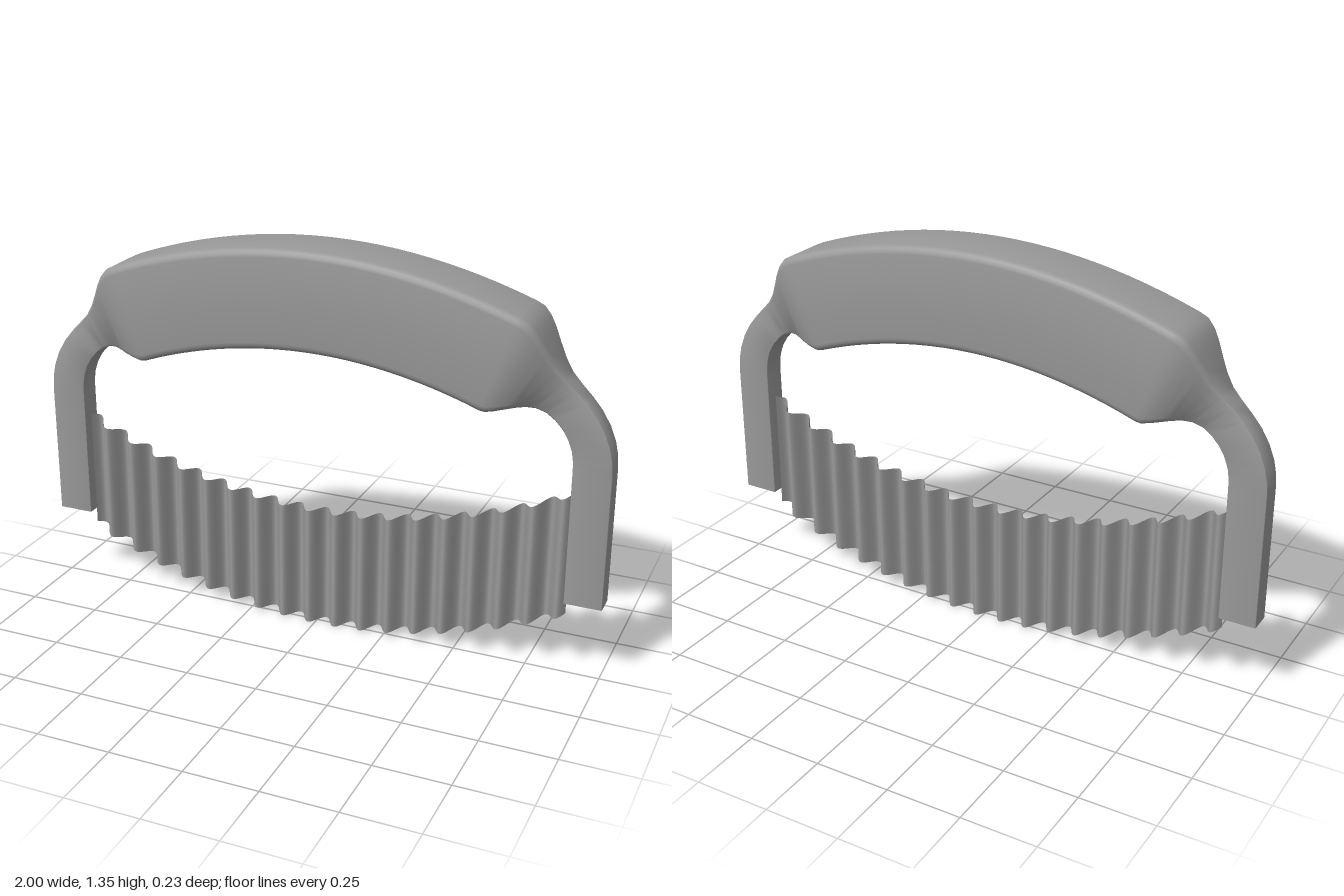
import * as THREE from 'three';
import { toCreasedNormals } from 'three/addons/utils/BufferGeometryUtils.js';

// Half of the handle from the grip end to the foot:
// [outer x, outer y, inner x, inner y, half width, corner radius]
const HALF = [
  [0.695, 1.222, 0.585, 0.907, 0.115, 0.026],
  [0.725, 1.208, 0.602, 0.904, 0.114, 0.026],
  [0.748, 1.182, 0.63, 0.909, 0.108, 0.025],
  [0.768, 1.148, 0.66, 0.916, 0.098, 0.023],
  [0.788, 1.108, 0.69, 0.922, 0.083, 0.02],
  [0.812, 1.062, 0.72, 0.925, 0.066, 0.015],
  [0.838, 1.024, 0.75, 0.922, 0.052, 0.01],
  [0.87, 0.992, 0.782, 0.909, 0.043, 0.007],
  [0.905, 0.957, 0.81, 0.888, 0.04, 0.005],
  [0.94, 0.915, 0.836, 0.861, 0.04, 0.004],
  [0.968, 0.868, 0.856, 0.828, 0.04, 0.004],
  [0.987, 0.82, 0.869, 0.792, 0.04, 0.004],
  [0.997, 0.775, 0.874, 0.76, 0.04, 0.004],
  [1, 0.735, 0.875, 0.735, 0.04, 0.004],
  [1, 0.27, 0.875, 0.27, 0.04, 0.004],
];

// Rounded rectangles swept along the handle, closed at both feet
function handleGeometry() {
  const half = [];
  for (let i = 1; i < 12; i++) {
    const t = i / 12, ox = 0.695 * t, ix = 0.585 * t;
    half.push([ox, 1.35 - 0.128 * t * t, ix, 1.015 - 0.108 * t * t, 0.115, 0.026]);
  }
  half.push(...HALF);
  const mirrored = half.map(([ox, oy, ix, iy, w, r]) => [-ox, oy, -ix, iy, w, r]).reverse();
  const stations = [...mirrored, [0, 1.35, 0, 1.015, 0.115, 0.026], ...half];

  const steps = 4, n = 4 * (steps + 1), pos = [], index = [];
  for (const [ox, oy, ix, iy, w, r] of stations) {
    const cx = (ox + ix) / 2, cy = (oy + iy) / 2;
    const h = Math.hypot(ox - ix, oy - iy) / 2;
    const ux = (ox - cx) / h, uy = (oy - cy) / h;
    for (let c = 0; c < 4; c++) {
      const su = c === 0 || c === 3 ? 1 : -1, sz = c < 2 ? 1 : -1;
      for (let k = 0; k <= steps; k++) {
        const a = (c + k / steps) * Math.PI / 2;
        const u = su * (h - r) + r * Math.cos(a);
        pos.push(cx + ux * u, cy + uy * u, sz * (w - r) + r * Math.sin(a));
      }
    }
  }
  const last = (stations.length - 1) * n;
  for (let i = 0; i < last; i += n) {
    for (let j = 0; j < n; j++) {
      const k = (j + 1) % n;
      index.push(i + j, i + k, i + n + j, i + k, i + n + k, i + n + j);
    }
  }
  for (let j = 1; j < n - 1; j++) {
    index.push(0, j + 1, j, last, last + j, last + j + 1);
  }
  const g = new THREE.BufferGeometry();
  g.setAttribute('position', new THREE.Float32BufferAttribute(pos, 3));
  g.setIndex(index);
  return toCreasedNormals(g, 0.6);
}

// Thin sheet bent into waves, with curved upper and lower edges
function bladeGeometry() {
  const waves = 18, halfLength = 0.875;
  const g = new THREE.PlaneGeometry(2 * halfLength, 1, waves * 16, 1);
  const p = g.attributes.position;
  for (let i = 0; i < p.count; i++) {
    const t = p.getX(i) / halfLength;
    const y = p.getY(i) > 0 ? 0.425 + 0.213 * t * t : 0.215 * t * t;
    p.setY(i, y);
    p.setZ(i, -0.028 * Math.sin(Math.PI * waves * (t + 1)));
  }
  g.computeVertexNormals();
  return g;
}

export function createModel() {
  const grey = new THREE.MeshStandardMaterial({ color: 0x999999 });
  grey.name = 'grey';
  grey.side = THREE.DoubleSide;

  const model = new THREE.Group();
  model.name = 'crinkleCutter';
  const add = (name, geometry) => {
    const mesh = new THREE.Mesh(geometry, grey);
    mesh.name = name;
    model.add(mesh);
  };
  add('handle', handleGeometry());
  add('wavyBlade', bladeGeometry());
  return model;
}
